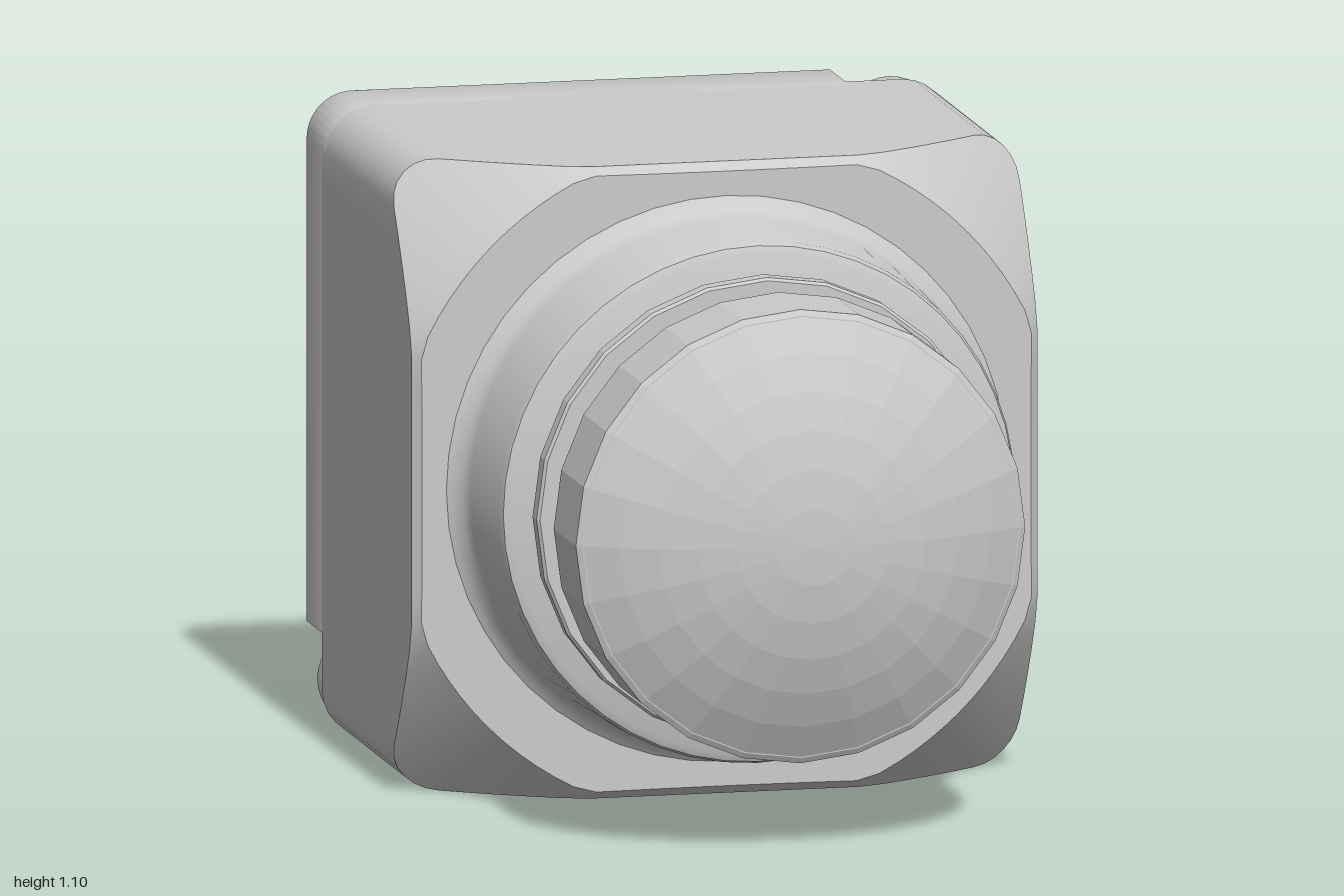
import * as THREE from 'three';
import { toCreasedNormals } from 'three/addons/utils/BufferGeometryUtils.js';

const H = 0.55, C = 0.08, N = 0.37;      // half width, corner radius, notch start
const FLANGE_Y = 0.205;                  // connector height above the lens axis
const V = (x, y) => new THREE.Vector2(x, y);

export function createModel() {
  const model = new THREE.Group();
  const camera = new THREE.Group();      // all parts are placed about the lens axis
  camera.name = 'cameraModule';
  camera.position.y = H;
  model.add(camera);

  const smooth = new THREE.MeshStandardMaterial({ color: 0xcccccc });
  const faceted = new THREE.MeshStandardMaterial({ color: 0xcccccc, flatShading: true });

  function add(name, geo, x = 0, y = 0, z = 0, material = smooth) {
    const g = material === smooth ? toCreasedNormals(geo, 0.6) : geo;
    const mesh = new THREE.Mesh(g, material);
    mesh.name = name;
    mesh.position.set(x, y, z);
    camera.add(mesh);
    return mesh;
  }

  // Solid of revolution; dir +1 runs to the front, -1 to the back
  function lathe(points, segments, dir = 1) {
    return new THREE.LatheGeometry(points.map(p => V(...p)), segments).rotateX(dir * Math.PI / 2);
  }

  // Extrusion filling exactly z0..z1, with bevels kept inside the outline
  function slab(shape, z0, z1, bevel = 0.012) {
    return new THREE.ExtrudeGeometry(shape, {
      depth: z1 - z0 - 2 * bevel, bevelEnabled: bevel > 0, bevelThickness: bevel,
      bevelSize: bevel, bevelOffset: -bevel, bevelSegments: 2, curveSegments: 16,
    }).translate(0, 0, z0 + bevel);
  }

  function circle(Type, x, y, r) {
    return new Type().absarc(x, y, r, 0, Math.PI * 2, false);
  }

  // Hull of one large and two small circles
  function flangeShape(Type, grow, y) {
    const d = 0.28, R = 0.26 + grow, r = 0.14 + grow, a = Math.acos((R - r) / d);
    const s = new Type();
    s.absarc(d, y, r, -a, a, false);
    s.absarc(0, y, R, a, Math.PI - a, false);
    s.absarc(-d, y, r, Math.PI - a, Math.PI + a, false);
    s.absarc(0, y, R, Math.PI + a, 2 * Math.PI - a, false);
    s.closePath();
    return s;
  }

  // Round screw head with a six-lobed socket
  function screw(name, x, y, z0, z1, r) {
    const head = circle(THREE.Shape, 0, 0, r);
    const star = [];
    for (let i = 0; i < 36; i++) {
      const a = i / 36 * Math.PI * 2, q = r * (0.48 + 0.1 * Math.cos(6 * a));
      star.push(V(q * Math.cos(a), q * Math.sin(a)));
    }
    head.holes.push(new THREE.Path(star));
    add(name, slab(head, z0, z1), x, y);
    const floor = new THREE.CylinderGeometry(r * 0.7, r * 0.7, 0.02, 20).rotateX(Math.PI / 2);
    add(name + 'Socket', floor, x, y, z0 + 0.045);
  }

  // Main housing: rounded square loft whose front corners are cut by a cone
  function housingGeometry() {
    const outline = [];
    for (let k = 0; k < 4; k++) {
      const a0 = k * Math.PI / 2, rot = V(0, 0);
      for (let i = 0; i <= 6; i++) {
        const a = i / 6 * Math.PI / 2;
        outline.push(V(H - C + C * Math.cos(a), H - C + C * Math.sin(a)).rotateAround(rot, a0));
      }
      for (let i = 1; i < 20; i++) {
        outline.push(V(H - C - 2 * (H - C) * i / 20, H).rotateAround(rot, a0));
      }
    }
    const n = outline.length, pos = [], idx = [];
    const rings = [
      () => [0, -0.34],
      r => [r, -0.34],
      r => [r, Math.min(0.325, 0.34 - (r - 0.59) * 1.1)],
      r => [Math.min(r - 0.015, 0.59), 0.34],
      () => [0, 0.34],
    ];
    for (const ring of rings) {
      for (const p of outline) {
        const r = p.length(), [q, z] = ring(r);
        pos.push(p.x * q / r, p.y * q / r, z);
      }
    }
    for (let j = 0; j < rings.length - 1; j++) {
      for (let i = 0; i < n; i++) {
        const a = j * n + i, b = j * n + (i + 1) % n;
        if (j > 0) idx.push(a, b, a + n);
        if (j < rings.length - 2) idx.push(b, b + n, a + n);
        else continue;
      }
    }
    const g = new THREE.BufferGeometry();
    g.setAttribute('position', new THREE.Float32BufferAttribute(pos, 3));
    g.setIndex(idx);
    return g;
  }
  add('housing', housingGeometry());

  // Rear cover with two notched corners, two holes and a connector recess
  const cover = new THREE.Shape();
  cover.moveTo(-N, -H);
  cover.absarc(H - C, -H + C, C, -Math.PI / 2, 0, false);
  cover.lineTo(H, N);
  cover.lineTo(N + C, N);
  cover.quadraticCurveTo(N, N, N, N + C);
  cover.lineTo(N, H);
  cover.absarc(-H + C, H - C, C, Math.PI / 2, Math.PI, false);
  cover.lineTo(-H, -N);
  cover.lineTo(-N - C, -N);
  cover.quadraticCurveTo(-N, -N, -N, -N - C);
  cover.closePath();
  cover.holes.push(flangeShape(THREE.Path, 0.03, FLANGE_Y));
  for (const s of [1, -1]) cover.holes.push(circle(THREE.Path, 0.43 * s, -0.43 * s, 0.045));
  add('rearCover', slab(cover, -0.47, -0.3, 0.015));
  add('recessFloor', slab(flangeShape(THREE.Shape, 0.03, FLANGE_Y), -0.44, -0.33, 0));
  for (const s of [1, -1]) screw('cornerScrew', 0.46 * s, 0.46 * s, -0.41, -0.33, 0.085);

  // Lens collar with a fillet into the housing
  add('lensCollar', lathe([
    [0.5, 0.335], [0.485, 0.345], [0.469, 0.36], [0.461, 0.385], [0.454, 0.565],
    [0.449, 0.579], [0.435, 0.585], [0, 0.585],
  ], 48));
  add('lensStem', lathe([[0.24, 0.57], [0.24, 0.62]], 24));

  // Lens barrel: rim, neck and cap
  add('lensBarrel', lathe([
    [0, 0.605], [0.4, 0.605], [0.405, 0.61], [0.405, 0.64], [0.4, 0.645], [0.35, 0.645],
    [0.35, 0.72], [0.39, 0.72], [0.395, 0.725], [0.395, 0.89], [0.385, 0.896], [0, 0.896],
  ], 24), 0, 0, 0, faceted);

  // Domed front glass
  const dome = [], chord = 0.385, rise = 0.105, R = (chord * chord + rise * rise) / (2 * rise);
  for (let i = 0; i <= 6; i++) {
    const a = Math.asin(chord / R) * (1 - i / 6);
    dome.push([R * Math.sin(a), 1 - R + R * Math.cos(a)]);
  }
  add('lensDome', lathe(dome, 24), 0, 0, 0, faceted);

  // Connector flange and its screws
  add('connectorFlange', slab(flangeShape(THREE.Shape, 0, FLANGE_Y), -0.545, -0.42));
  for (const s of [1, -1]) screw('flangeScrew', 0.28 * s, FLANGE_Y, -0.562, -0.5, 0.078);

  // Hollow connector barrel with flared mouth, inner sleeve and contact pin
  add('connectorBarrel', lathe([
    [0.163, 0.53], [0.163, 0.995], [0.158, 1], [0.145, 1], [0.135, 0.98],
    [0.095, 0.88], [0.095, 0.75], [0, 0.75],
  ], 32, -1), 0, FLANGE_Y);
  add('connectorSleeve', lathe([
    [0.07, 0.74], [0.07, 0.89], [0.045, 0.89], [0.045, 0.78], [0, 0.78],
  ], 24, -1), 0, FLANGE_Y);
  add('contactPin', lathe([[0.018, 0.77], [0.018, 0.87], [0, 0.885]], 12, -1), 0, FLANGE_Y);

  // Latch rib below the barrel, drawn as (distance back, height)
  const latch = new THREE.Shape([
    [0.53, 0.08], [0.53, 0], [0.665, 0], [0.665, -0.07], [0.71, -0.07], [0.8, 0], [0.8, 0.08],
  ].map(p => V(...p)));
  add('latchRib', slab(latch, -0.045, 0.045, 0).rotateY(Math.PI / 2));

  // Locating pegs on the rear cover
  const pill = new THREE.Shape();
  pill.absarc(0, 0.022, 0.045, 0, Math.PI, false);
  pill.absarc(0, -0.022, 0.045, Math.PI, Math.PI * 2, false);
  pill.closePath();
  add('ovalPeg', slab(pill, -0.555, -0.45), -0.27, -0.115);
  add('roundPeg', slab(circle(THREE.Shape, 0, 0, 0.038), -0.555, -0.45), 0.28, -0.115);

  return model;
}
